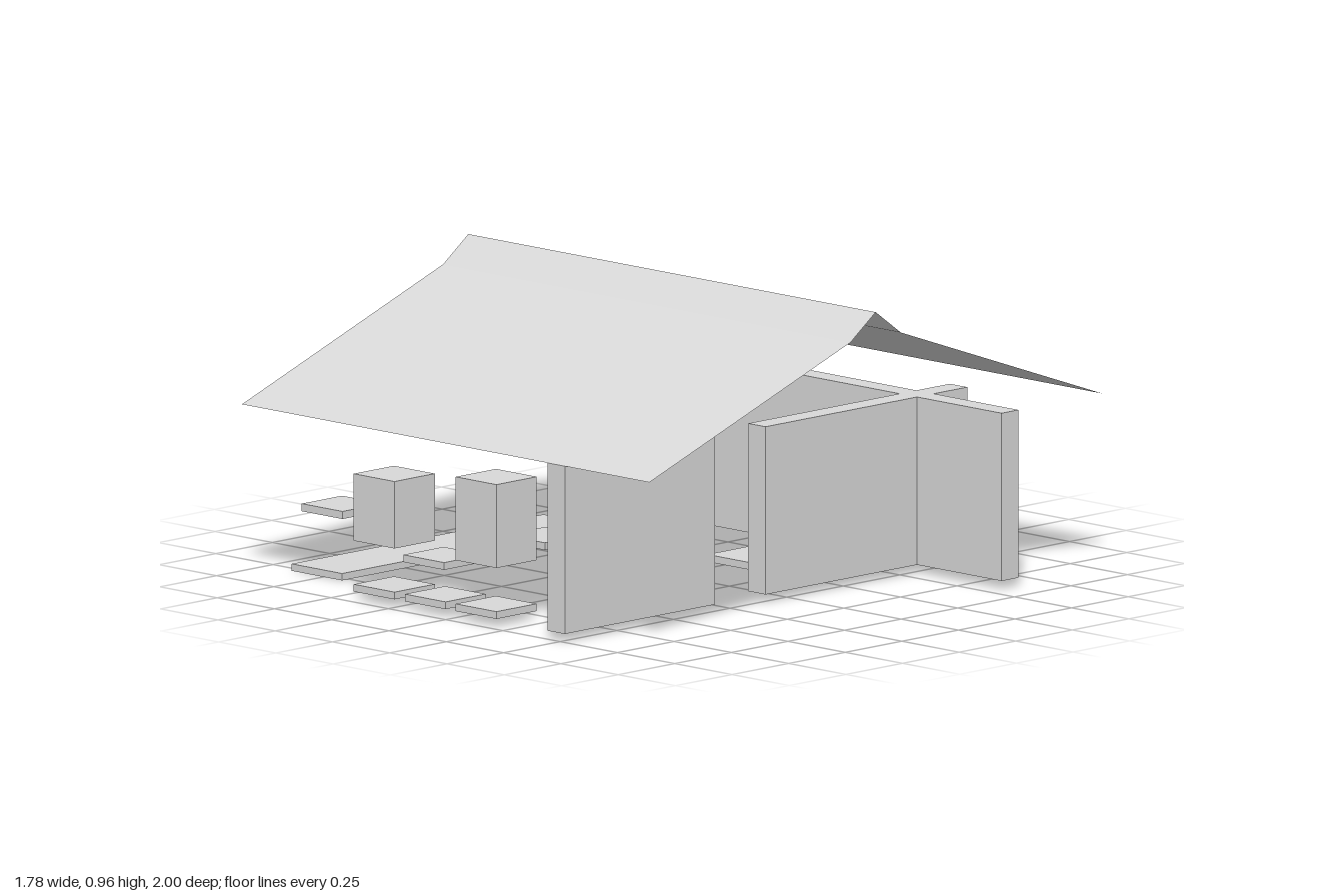
import * as THREE from 'three';

export function createModel() {
  const model = new THREE.Group();
  const plaster = new THREE.MeshStandardMaterial({ color: 0xd8d8d8, side: THREE.DoubleSide });
  plaster.name = 'pale grey';

  // Box given by its minimum and maximum on each axis
  function box(name, [x0, x1], [y0, y1], [z0, z1]) {
    const mesh = new THREE.Mesh(new THREE.BoxGeometry(x1 - x0, y1 - y0, z1 - z0), plaster);
    mesh.position.set((x0 + x1) / 2, (y0 + y1) / 2, (z0 + z1) / 2);
    mesh.name = name;
    model.add(mesh);
  }
  const around = (c, size = 0.178) => [c - size / 2, c + size / 2];

  // Walls
  const wallY = [0.027, 0.558];
  box('backWall', [-0.889, 0.889], wallY, [-0.63, -0.556]);
  box('innerWall', [0.444, 0.52], wallY, [-0.778, 0.113]);
  box('frontWall', [0.444, 0.52], wallY, [0.336, 1]);

  // Low walkway at the right side
  box('walkway', [-0.889, -0.669], [0, 0.022], [-0.333, 0.78]);

  // Floor tiles on a regular grid
  const tiles = [[-0.334, 0.889], [-0.111, 0.889], [0.111, 0.889],
    [-0.556, 0.445], [-0.111, 0.2225], [-0.556, 0], [0.111, -0.2225]];
  for (const [x, z] of tiles) box('floorTile', around(x), [0.027, 0.05], around(z));

  // Raised blocks and shelf
  box('shortBlock', around(-0.334), [0.188, 0.4], around(0.889));
  box('tallBlock', around(0.111), [0.188, 0.452], around(0.889));
  box('shelf', around(-0.78), [0.188, 0.212], around(0.667));

  // Thin roof: two slopes with a steeper ridge cap, swept along x
  const profile = [[1, 0.558], [0.111, 0.876], [0, 0.956], [-0.111, 0.876], [-1, 0.558]];
  const w = 0.889;
  for (let i = 0; i < profile.length - 1; i++) {
    const [za, ya] = profile[i], [zb, yb] = profile[i + 1];
    const geo = new THREE.BufferGeometry();
    geo.setAttribute('position', new THREE.Float32BufferAttribute(
      [-w, ya, za, w, ya, za, w, yb, zb, -w, yb, zb], 3));
    geo.setIndex([0, 1, 2, 0, 2, 3]);
    geo.computeVertexNormals();
    const panel = new THREE.Mesh(geo, plaster);
    panel.name = i === 0 || i === 3 ? 'roofSlope' : 'ridgeCap';
    model.add(panel);
  }
  return model;
}
